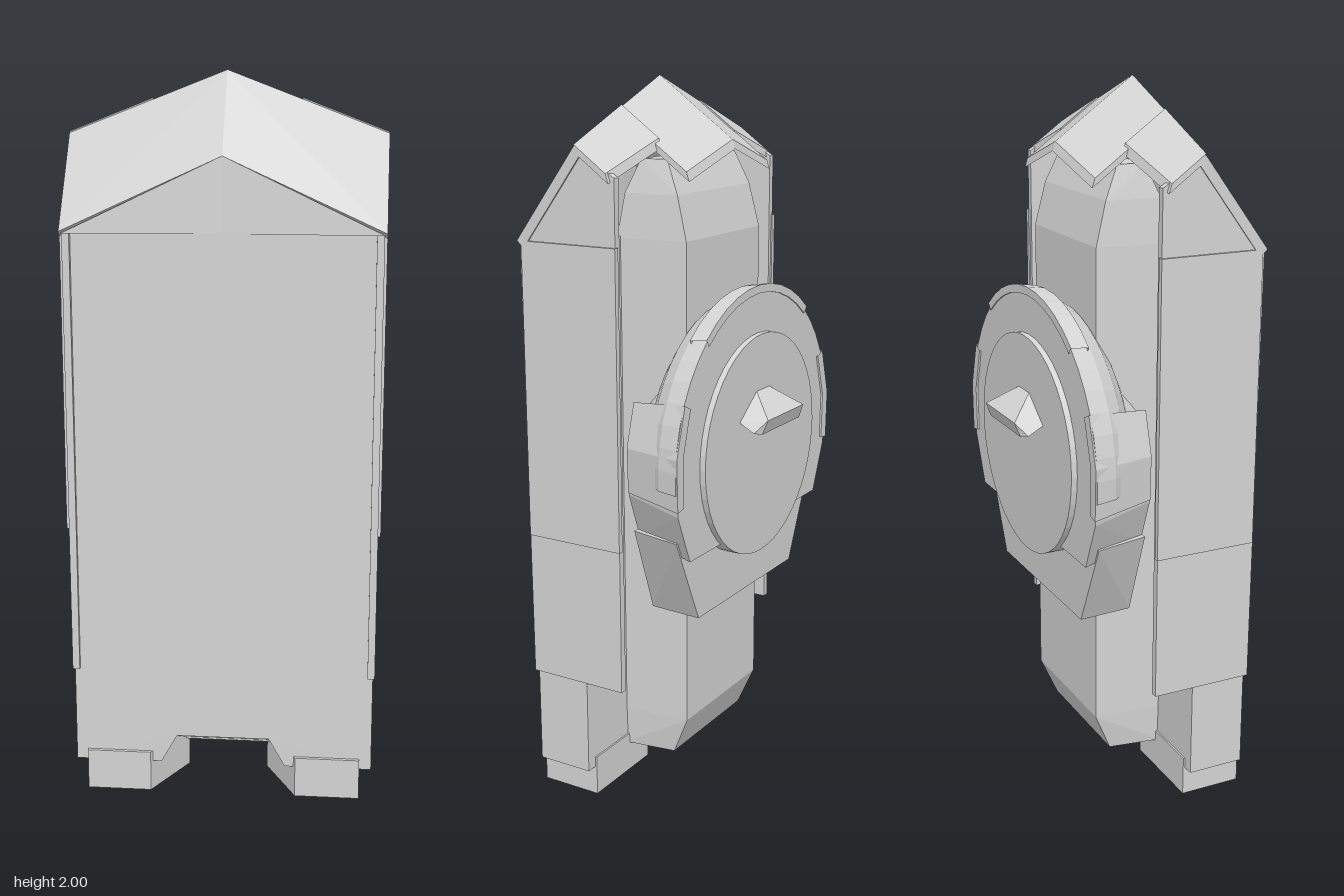
import * as THREE from 'three';
import { ConvexGeometry } from 'three/addons/geometries/ConvexGeometry.js';

const grey = new THREE.MeshStandardMaterial({ color: 0xd4d4d4, flatShading: true, side: THREE.DoubleSide });
grey.name = 'light grey';

export function createModel() {
  const model = new THREE.Group();
  const add = (name, geometry) => {
    const mesh = new THREE.Mesh(geometry, grey);
    mesh.name = name;
    model.add(mesh);
    return mesh;
  };
  const hull = (name, points) => add(name, new ConvexGeometry(points.map((p) => new THREE.Vector3(...p))));
  // box from its minimum and maximum corners
  const block = (name, x0, x1, y0, y1, z0, z1) =>
    add(name, new THREE.BoxGeometry(Math.abs(x1 - x0), y1 - y0, z1 - z0)
      .translate((x0 + x1) / 2, (y0 + y1) / 2, (z0 + z1) / 2));
  const mirrored = (points) => points.flatMap(([x, y, z]) => [[x, y, z], [-x, y, z]]);
  const shape = (pts) => new THREE.Shape(pts.map((p) => new THREE.Vector2(...p)));

  // front slab with a notch between the feet, closed by a sloping ramp
  add('frontSlab', new THREE.ExtrudeGeometry(shape([
    [-0.418, 0.085], [-0.175, 0.085], [-0.13, 0.165], [0.13, 0.165], [0.175, 0.085],
    [0.418, 0.085], [0.418, 1.585], [-0.418, 1.585],
  ]), { depth: 0.165, bevelEnabled: false }).translate(0, 0, 0.1));
  hull('notchRamp', mirrored([[0.13, 0.168, 0.262], [0.13, 0.168, 0.1], [0.172, 0.085, 0.1]]));

  // rear column with steep sides, tapering to a pointed arch at the top
  const column = [];
  for (const [y, xFront, xBack, zFront, zBack] of [
    [0.085, 0.215, 0.19, 0.11, -0.045],
    [0.2, 0.22, 0.2, 0.11, -0.095],
    [1.58, 0.22, 0.2, 0.11, -0.095],
    [1.7, 0.21, 0.195, 0.09, -0.065],
    [1.79, 0.19, 0.18, 0.05, -0.025],
  ]) column.push([xFront, y, zFront], [xBack, y, zBack]);
  hull('rearColumn', mirrored(column));

  // roof height at a point, falling to the sides and the back
  const roofY = (x, z) => 2 - 0.384 * x - 0.72 * (0.11 - 0.035 * x - z);

  for (const s of [1, -1]) {
    const side = s > 0 ? 'left' : 'right';
    const slab = (name, pts, dy, dz) =>
      hull(name, pts.flatMap(([x, y, z]) => [[s * x, y, z], [s * x, y + dy, z + dz]]));

    // side walls in stepped plates
    const wall = new THREE.ExtrudeGeometry(shape([
      [-0.275, 0.36], [0.02, 0.36], [0.02, 1.76], [-0.095, 1.83], [-0.28, 1.585],
    ]), { depth: 0.02, bevelEnabled: false }).rotateY(Math.PI / 2);
    add(side + 'Wall', wall.translate(s > 0 ? 0.403 : -0.423, 0, 0));
    block(side + 'UpperPlate', s * 0.415, s * 0.43, 0.77, 1.585, -0.024, 0.272);

    // sloping hood front and its gable
    slab(side + 'HoodFront', [[0, 1.78, 0.26], [0.43, 1.585, 0.285], [0.432, 1.835, 0.095], [0, 2, 0.11]], -0.02, -0.02);
    slab(side + 'HoodGable', [[0, 1.78, 0.26], [0, 1.58, 0.265], [0.425, 1.58, 0.285]], 0, -0.03);

    // roof plates
    const plate = (name, x0, x1, zEnd, lift) => slab(name, [
      [x0, 0.11 - 0.035 * x0], [x1, 0.11 - 0.035 * x1], [x1, zEnd + 0.012], [x0, zEnd],
    ].map(([x, z]) => [x, roofY(x, z) + lift, z]), -0.025, -0.008);
    plate(side + 'RoofCentre', 0, 0.22, -0.12, 0);
    plate(side + 'RoofOuter', 0.2, 0.432, -0.012, 0.005);

    // wedge-shaped feet
    slab(side + 'Foot', [[0.385, 0, 0.275], [0.205, 0, 0.275], [0.115, 0, 0.095], [0.385, 0, 0.095]], 0.115, 0);
  }

  // bowl-shaped drum on the back, revolved about the z axis
  const sector = (name, profile, from, to, segments) => {
    const rad = Math.PI / 180;
    const geometry = new THREE.LatheGeometry(profile.map((p) => new THREE.Vector2(...p)),
      segments, from * rad, (to - from) * rad);
    return add(name, geometry.rotateX(-Math.PI / 2).translate(0, 1, 0));
  };
  sector('drumBowl', [
    [0.22, -0.06], [0.27, 0.02], [0.335, 0.055], [0.395, 0.1], [0.425, 0.145], [0.438, 0.205], [0, 0.205],
  ], -95, 95, 24);
  sector('drumTopPanel', [[0.425, 0.155], [0.44, 0.155], [0.448, 0.209], [0.425, 0.209], [0.425, 0.155]], -40, 40, 10);
  for (const [name, a, b] of [['leftDrumPlate', 64, 101], ['rightDrumPlate', -101, -64]]) {
    sector(name, [[0.36, 0.02], [0.385, 0.02], [0.442, 0.21], [0.41, 0.21], [0.36, 0.02]], a, b, 2);
  }

  // tapering lower housing
  hull('housingMiddle', mirrored([
    [0.435, 1.0, -0.205], [0.425, 0.9, -0.205], [0.365, 0.76, -0.205],
    [0.38, 1.0, -0.02], [0.375, 0.92, -0.02], [0.325, 0.79, -0.02],
  ]));
  hull('housingBase', mirrored([
    [0.385, 0.81, -0.175], [0.27, 0.56, -0.175], [0.35, 0.81, -0.02], [0.26, 0.56, -0.02],
  ]));

  // round cover and its small hooded fin
  add('roundCover', new THREE.CylinderGeometry(0.315, 0.315, 0.05, 48).rotateX(Math.PI / 2).translate(0, 1, -0.197));
  hull('coverFin', mirrored([
    [0.035, 1.16, -0.22], [0.13, 1.09, -0.22], [0.13, 1.065, -0.265], [0.11, 1.06, -0.28],
    [0.105, 1.1, -0.295], [0.07, 1.08, -0.22],
  ]));

  return model;
}
